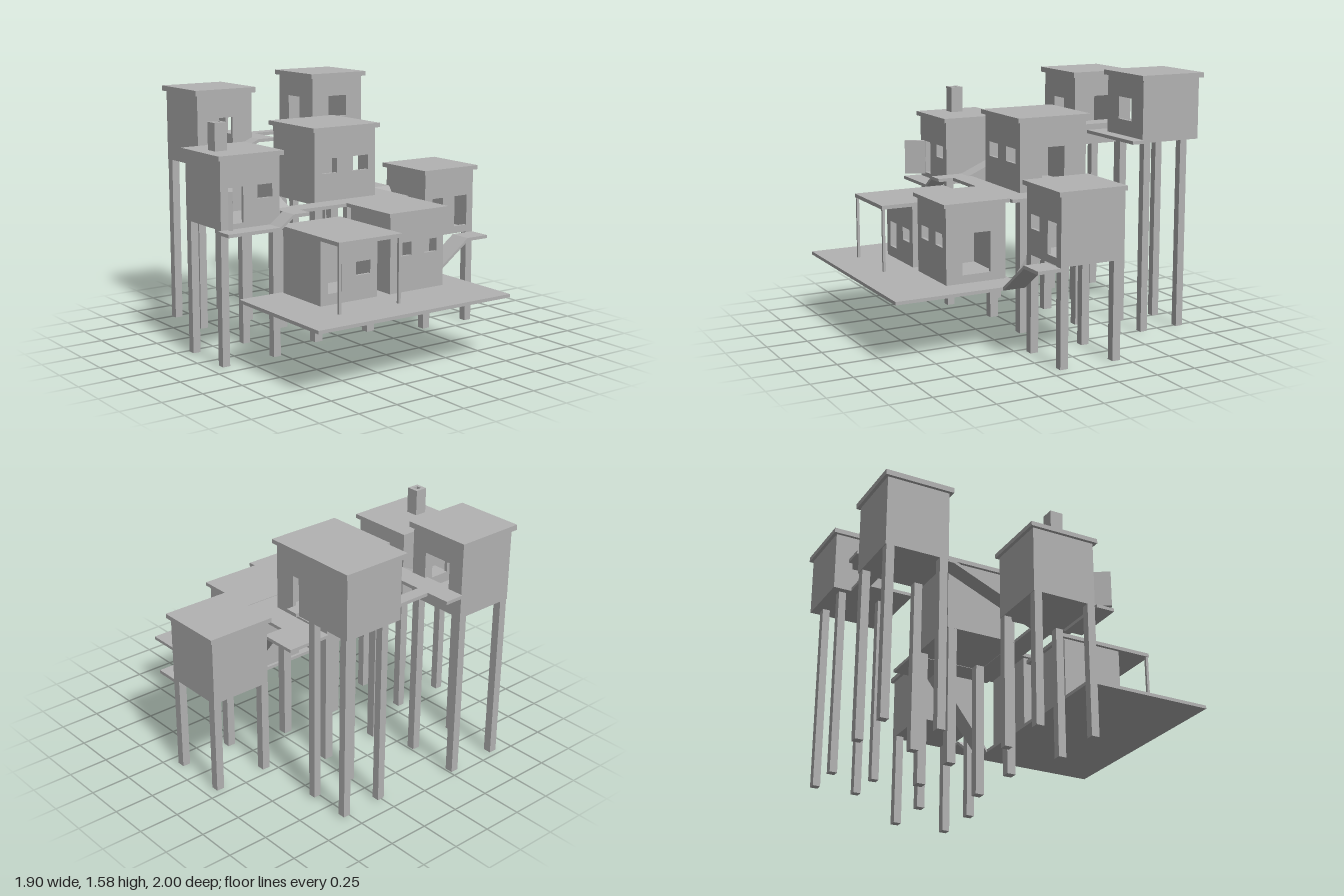
import * as THREE from 'three';

const grey = new THREE.MeshStandardMaterial({ color: 0xb2b2b2 });
grey.name = 'plain grey';

function add(parent, name, geometry) {
  const mesh = new THREE.Mesh(geometry, grey);
  mesh.name = name;
  parent.add(mesh);
  return mesh;
}

// Box given by its limits on each axis
function box(parent, name, [x0, x1], [y0, y1], [z0, z1]) {
  const g = new THREE.BoxGeometry(x1 - x0, y1 - y0, z1 - z0);
  g.translate((x0 + x1) / 2, (y0 + y1) / 2, (z0 + z1) / 2);
  return add(parent, name, g);
}

const rect = ([a0, a1, b0, b1]) => [[a0, b0], [a1, b0], [a1, b1], [a0, b1]].map(p => new THREE.Vector2(...p));

// Outline in x-y, or in z-y when alongZ, pushed out between two limits on the other axis
function prism(parent, name, points, holes, [lo, hi], alongZ) {
  const shape = new THREE.Shape(points);
  holes.forEach(h => shape.holes.push(new THREE.Path(rect(h))));
  const g = new THREE.ExtrudeGeometry(shape, { depth: hi - lo, bevelEnabled: false });
  if (alongZ) g.rotateY(-Math.PI / 2).translate(hi, 0, 0);
  else g.translate(0, 0, lo);
  return add(parent, name, g);
}

// Thin walkway following a line of [distance, top height] points
function walkway(parent, name, line, limits, alongZ) {
  const T = 0.02;
  const pts = [...line.map(([a, y]) => [a, y - T]), ...line.slice().reverse()];
  prism(parent, name, pts.map(p => new THREE.Vector2(...p)), [], limits, alongZ);
}

// Hollow hut: four walls with openings, floor, overhanging roof and optional stilts
function hut(parent, o) {
  const hutGroup = new THREE.Group();
  hutGroup.name = o.name;
  parent.add(hutGroup);
  const W = 0.02, [x0, x1] = o.x, [y0, y1] = o.y, [z0, z1] = o.z;
  const front = rect([x0, x1, y0, y1]), side = rect([z0 + W, z1 - W, y0, y1]);
  prism(hutGroup, 'frontWall', front, o.front || [], [z1 - W, z1], false);
  prism(hutGroup, 'backWall', front, [], [z0, z0 + W], false);
  prism(hutGroup, 'leftWall', side, o.left || [], [x1 - W, x1], true);
  prism(hutGroup, 'rightWall', side, o.right || [], [x0, x0 + W], true);
  box(hutGroup, 'floor', [x0 + W, x1 - W], [y0, y0 + W], [z0 + W, z1 - W]);
  const e = 0.02;
  box(hutGroup, 'roof', [x0 - e, x1 + e], [y1, y1 + (o.roof || 0.027)], [z0 - e, o.porch || z1 + e]);
  if (o.stilts) {
    const { xs, zs, foot, w } = o.stilts;
    for (const x of xs) for (const z of zs)
      box(hutGroup, 'stilt', [x - w / 2, x + w / 2], [foot, y0], [z - w / 2, z + w / 2]);
  }
  return hutGroup;
}

export function createModel() {
  const model = new THREE.Group();
  model.name = 'stiltVillage';

  // Lower pair of huts on the ground platform
  box(model, 'groundPlatform', [-0.83, 0.52], [0.38, 0.4], [0.2, 1]);
  const porchHut = hut(model, {
    name: 'porchHut', x: [-0.54, -0.145], y: [0.4, 0.782], z: [0.22, 0.6], porch: 0.805, roof: 0.023,
    front: [[-0.49, -0.395, 0.465, 0.625], [-0.295, -0.195, 0.545, 0.625]],
  });
  for (const x of [-0.548, -0.137])
    box(porchHut, 'porchPost', [x - 0.008, x + 0.008], [0.4, 0.782], [0.785, 0.801]);
  hut(model, {
    name: 'lowerHut', x: [-0.055, 0.34], y: [0.4, 0.858], z: [0.22, 0.605], roof: 0.022,
    front: [[0, 0.1, 0.615, 0.695], [0.195, 0.29, 0.615, 0.695]],
    left: [[0.32, 0.5, 0.45, 0.695]],
  });

  // Left-hand hut with its stilts
  hut(model, {
    name: 'sideHut', x: [0.54, 0.93], y: [0.59, 0.99], z: [-0.21, 0.185],
    front: [[0.585, 0.685, 0.745, 0.83], [0.78, 0.88, 0.635, 0.83]],
    stilts: { xs: [0.561, 0.905], zs: [0.16, -0.183], foot: 0, w: 0.05 },
  });

  // Right-hand hut with chimney and open door
  const chimneyHut = hut(model, {
    name: 'chimneyHut', x: [-0.935, -0.54], y: [0.81, 1.21], z: [-0.21, 0.185],
    front: [[-0.885, -0.785, 0.84, 1.05], [-0.69, -0.59, 0.97, 1.05]],
    stilts: { xs: [-0.911, -0.564], zs: [0.16, -0.183], foot: 0.01, w: 0.048 },
  });
  const flue = new THREE.Shape(rect([-0.04, 0.04, -0.04, 0.04]));
  flue.holes.push(new THREE.Path(rect([-0.017, 0.017, -0.017, 0.017])));
  const chimney = new THREE.ExtrudeGeometry(flue, { depth: 0.165, bevelEnabled: false });
  add(chimneyHut, 'chimney', chimney.rotateX(-Math.PI / 2).translate(-0.832, 1.235, -0.015));
  const door = add(chimneyHut, 'openDoor', new THREE.BoxGeometry(0.025, 0.22, 0.135).translate(0, 0, 0.0675));
  door.position.set(-0.868, 0.94, 0.183);
  door.rotation.y = -0.54;

  // Middle hut
  hut(model, {
    name: 'middleHut', x: [-0.215, 0.235], y: [0.86, 1.3], z: [-0.385, 0.068],
    front: [[-0.16, -0.05, 1.045, 1.135], [0.06, 0.18, 1.045, 1.135]],
    left: [[-0.235, -0.08, 0.89, 1.14]],
    stilts: { xs: [-0.187, 0.207], zs: [0.04, -0.35], foot: 0.01, w: 0.055 },
  });

  // Two tall back huts
  hut(model, {
    name: 'backRightHut', x: [-0.635, -0.245], y: [1.05, 1.487], z: [-0.98, -0.59], roof: 0.033,
    front: [[-0.51, -0.385, 1.13, 1.34]],
    left: [[-0.88, -0.69, 1.2, 1.36]],
    stilts: { xs: [-0.61, -0.275], zs: [-0.62, -0.95], foot: 0.01, w: 0.05 },
  });
  hut(model, {
    name: 'backLeftHut', x: [0.2, 0.59], y: [1.18, 1.55], z: [-0.953, -0.56], roof: 0.03,
    front: [[0.325, 0.465, 1.295, 1.43]],
    right: [[-0.84, -0.71, 1.21, 1.42]],
    stilts: { xs: [0.263, 0.527], zs: [-0.62, -0.88], foot: 0.01, w: 0.046 },
  });

  // Walkway of the chimney hut, rising to the middle deck
  walkway(model, 'chimneyHutWalkway', [[-0.955, 0.81], [-0.61, 0.81], [-0.52, 0.877], [-0.41, 0.877]], [0.185, 0.3], false);

  // Middle deck in front of and beside the middle hut
  box(model, 'middleDeck', [-0.52, 0.39], [0.857, 0.877], [0.068, 0.2]);
  box(model, 'middleSideDeck', [0.235, 0.39], [0.857, 0.877], [-0.4, 0.068]);
  box(model, 'middleSideLanding', [0.39, 0.52], [0.857, 0.877], [-0.4, -0.16]);
  walkway(model, 'steepRamp', [[-0.16, 0.877], [0.2, 0.4]], [0.39, 0.52], true);

  // Ramp and landing of the left-hand hut
  walkway(model, 'sideHutWalkway', [[0.52, 0.4], [0.77, 0.585], [0.93, 0.585]], [0.185, 0.33], false);

  // Ramp up to the back huts, their decks and the bridge between
  walkway(model, 'longRamp', [[-0.5, 1.13], [0.09, 0.877]], [-0.52, -0.41], true);
  walkway(model, 'backWalkway', [[-0.52, 1.13], [-0.41, 1.13], [-0.25, 1.2], [-0.12, 1.2]], [-0.59, -0.5], false);
  box(model, 'backRightDeck', [-0.245, -0.12], [1.18, 1.2], [-0.99, -0.59]);
  box(model, 'bridge', [-0.12, 0.2], [1.18, 1.2], [-0.84, -0.76]);
  box(model, 'backLeftSideDeck', [0.09, 0.2], [1.18, 1.2], [-0.76, -0.48]);
  box(model, 'backLeftFrontDeck', [0.2, 0.61], [1.18, 1.2], [-0.56, -0.48]);

  return model;
}
